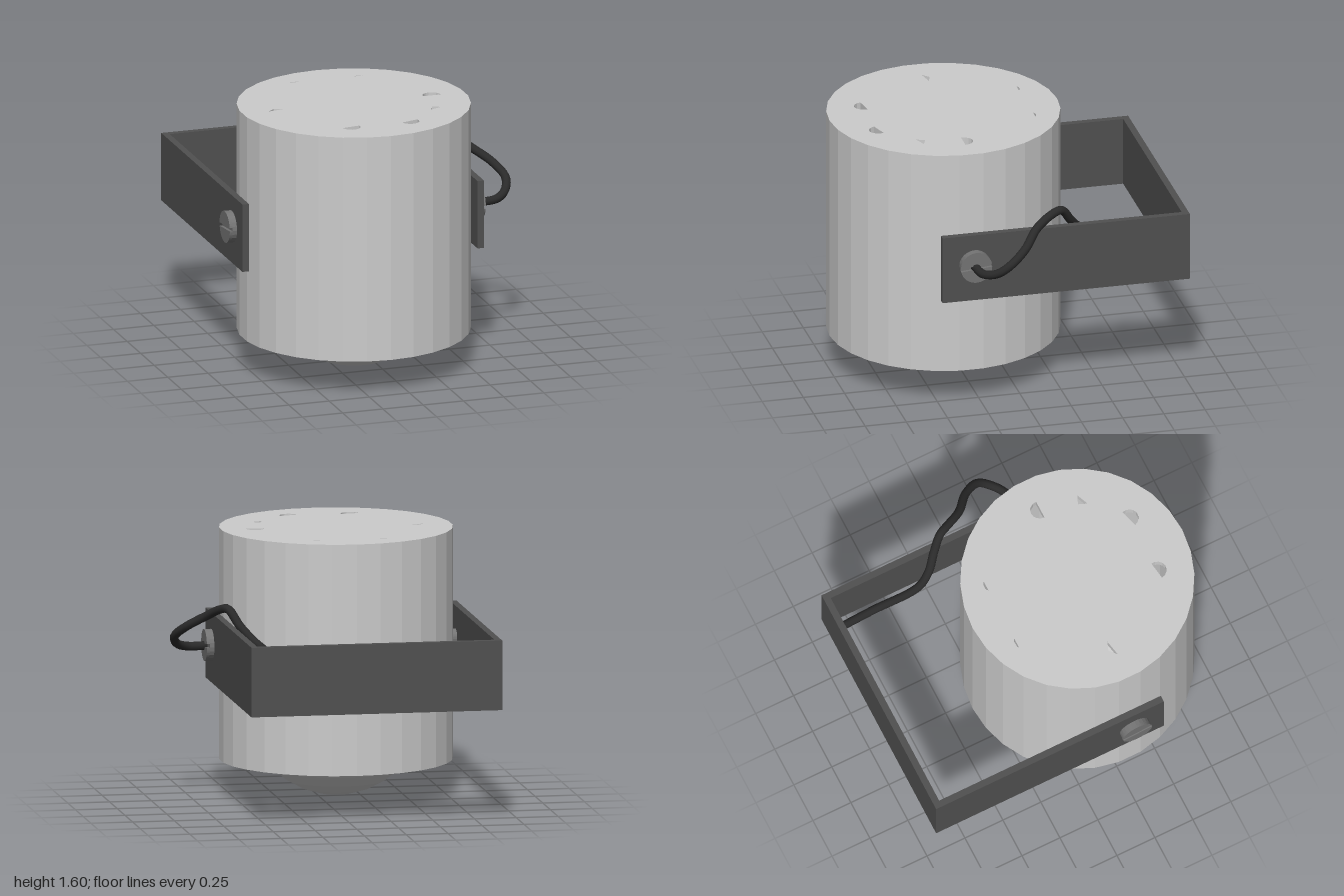
import * as THREE from 'three';

const CX = -0.115, CZ = 0.31, BOLT_Y = 0.915, SIDES = 30;

const mat = (color, flat = true) => new THREE.MeshStandardMaterial({ color, flatShading: flat, side: THREE.DoubleSide });

function addMesh(parent, name, geometry, material, x = 0, y = 0, z = 0) {
  const m = new THREE.Mesh(geometry, material);
  m.name = name;
  m.position.set(x, y, z);
  parent.add(m);
  return m;
}

// regular polygon with a vertex facing the front
function polygon(r) {
  return Array.from({ length: SIDES }, (_, i) => {
    const a = -Math.PI / 2 + (i / SIDES) * Math.PI * 2;
    return new THREE.Vector2(r * Math.cos(a), r * Math.sin(a));
  });
}

// upright extrusion: shape lies on the ground plane, depth goes up
function slab(shape, height) {
  return new THREE.ExtrudeGeometry(shape, { depth: height, bevelEnabled: false }).rotateX(-Math.PI / 2);
}

// half disc or wedge opening in the top plate; x, z relative to the housing axis
function ventHole(x, z, w, h, turn, steps) {
  const pts = [];
  for (let i = 0; i <= steps; i++) {
    const a = (i / steps) * Math.PI;
    const p = new THREE.Vector2(w * Math.cos(a), h * Math.sin(a)).rotateAround(new THREE.Vector2(), turn);
    pts.push(p.add(new THREE.Vector2(x, -z)));
  }
  return new THREE.Path(pts);
}

// slotted bolt pointing along +x from the outside of an arm
function bolt(name, metal) {
  const g = new THREE.Group();
  g.name = name;
  const disc = (r, x0, x1, part) =>
    addMesh(g, part, new THREE.CylinderGeometry(r, r, x1 - x0, 24).rotateZ(Math.PI / 2), metal, (x0 + x1) / 2);
  disc(0.055, -0.09, 0, 'spindle');
  disc(0.095, 0, 0.027, 'headBase');
  // two raised halves leave the screwdriver slot between them
  for (const s of [0, Math.PI]) {
    const half = new THREE.Shape();
    half.absarc(0, 0, 0.095, 0.11, Math.PI - 0.11, false);
    const geo = new THREE.ExtrudeGeometry(half, { depth: 0.018, bevelEnabled: false, curveSegments: 12 });
    geo.rotateZ(s + 0.1).rotateY(Math.PI / 2);
    addMesh(g, 'headHalf', geo, metal, 0.027);
  }
  return g;
}

export function createModel() {
  const group = new THREE.Group();
  const grey = mat(0xcccccc), dark = mat(0x505050), metal = mat(0x747474), black = mat(0x2a2a2a, false);

  // housing: open tube closed by a vented top plate
  const housing = new THREE.Group();
  housing.name = 'housing';
  housing.position.set(CX, 0, CZ);
  group.add(housing);
  const ring = new THREE.Shape(polygon(0.69));
  ring.holes.push(new THREE.Path(polygon(0.625)));
  addMesh(housing, 'wall', slab(ring, 1.33), grey, 0, 0.22, 0);
  const plate = new THREE.Shape(polygon(0.69));
  plate.holes.push(
    ventHole(0.485, 0.0, 0.055, 0.06, 0, 8),
    ventHole(0.2, 0.44, 0.055, 0.06, Math.PI + 0.3, 8),
    ventHole(-0.165, 0.44, 0.055, 0.06, Math.PI + 0.15, 8),
    ventHole(-0.48, -0.01, 0.05, 0.03, 0.2, 2),
    ventHole(0.43, 0.25, 0.04, 0.04, 0.4, 2),
    ventHole(-0.2, -0.5, 0.03, 0.012, 0, 5),
    ventHole(0.2, -0.5, 0.03, 0.012, 0, 5),
  );
  addMesh(housing, 'topPlate', slab(plate, 0.05), grey, 0, 1.55, 0);

  // lamp bulb hanging below the rim, with its socket inside
  addMesh(housing, 'bulb', new THREE.SphereGeometry(0.53, SIDES, 16), grey, 0, 0.535, 0);
  addMesh(housing, 'socket', new THREE.CylinderGeometry(0.18, 0.18, 0.52, 24), grey, 0, 1.29, 0);

  // U-shaped bracket
  const u = [[-0.87, 1], [0.63, 1], [0.63, -0.5], [0.59, -0.5], [0.59, 0.96], [-0.83, 0.96], [-0.83, -0.5], [-0.87, -0.5]];
  const bracket = new THREE.Shape(u.map(([x, y]) => new THREE.Vector2(x, y)));
  addMesh(group, 'bracket', slab(bracket, 0.415), dark, 0, 0.69, 0);

  // pivot bolts on both arms
  const leftBolt = bolt('leftBolt', metal);
  leftBolt.position.set(0.63, BOLT_Y, CZ - 0.005);
  const rightBolt = bolt('rightBolt', metal);
  rightBolt.position.set(-0.87, BOLT_Y, CZ - 0.005);
  rightBolt.rotation.y = Math.PI;
  group.add(leftBolt, rightBolt);

  // cable from the bolt, over the arm and along to the back bar
  const path = new THREE.CatmullRomCurve3([
    [0.65, 0.912, 0.31], [0.78, 0.915, 0.285], [0.855, 0.945, 0.22], [0.88, 1.0, 0.15], [0.83, 1.07, 0.05],
    [0.72, 1.15, -0.05], [0.66, 1.2, -0.15], [0.625, 1.21, -0.22], [0.57, 1.12, -0.29], [0.5, 1.04, -0.36],
    [0.455, 1.0, -0.45], [0.455, 0.97, -0.75], [0.455, 0.94, -0.97],
  ].map((p) => new THREE.Vector3(...p)));
  addMesh(group, 'cable', new THREE.TubeGeometry(path, 90, 0.026, 10), black);

  return group;
}
